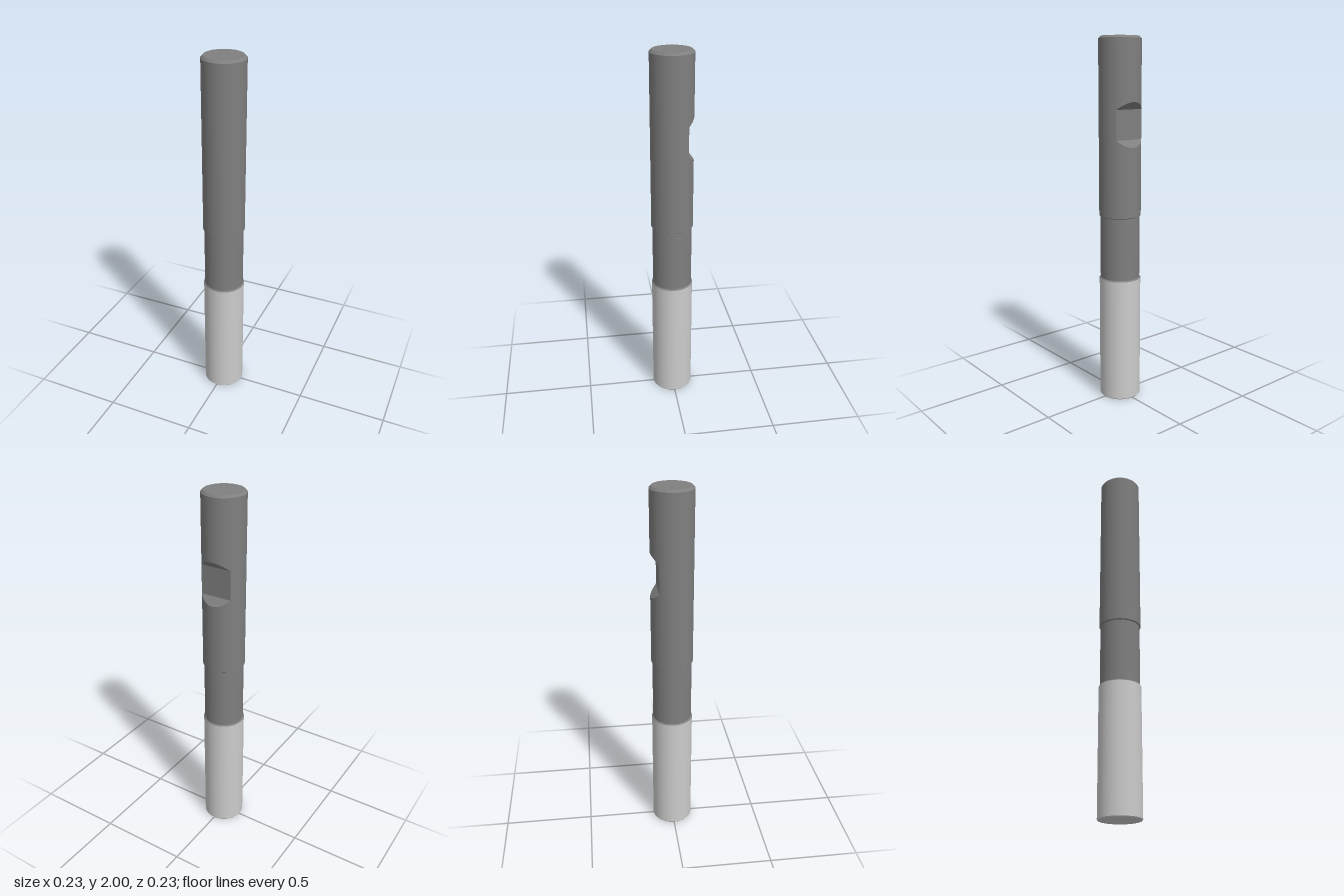
import * as THREE from 'three';
import { mergeGeometries } from 'three/addons/utils/BufferGeometryUtils.js';

const R = 0.114, NECK_R = 0.108, FLAT = 0.075, SEG = 96;
const SHANK_Y = 1.05, CUT_Y = 0.695;

// Turned body from [radius, y] points, bottom to top, with a sharp edge at every point
function turned(points) {
  return mergeGeometries(points.slice(1).map((p, i) =>
    new THREE.LatheGeometry([new THREE.Vector2(...points[i]), new THREE.Vector2(...p)], SEG)));
}

// Grid surface: fn(u, level) gives a point, u from 0 to 1
function sheet(levels, nu, fn) {
  const pos = [], index = [], w = nu + 1;
  levels.forEach((level, j) => {
    for (let i = 0; i <= nu; i++) {
      pos.push(...fn(i / nu, level));
      if (i < nu && j < levels.length - 1) {
        const a = j * w + i;
        index.push(a, a + 1, a + w + 1, a, a + w + 1, a + w);
      }
    }
  });
  const g = new THREE.BufferGeometry();
  g.setAttribute('position', new THREE.Float32BufferAttribute(pos, 3));
  g.setIndex(index);
  g.computeVertexNormals();
  return g;
}

export function createModel() {
  const model = new THREE.Group();
  const steel = new THREE.MeshStandardMaterial({ color: 0x7f7f7f });
  const bright = new THREE.MeshStandardMaterial({ color: 0xcccccc });
  const add = (name, geometry, material) => {
    const mesh = new THREE.Mesh(geometry, material);
    mesh.name = name;
    model.add(mesh);
  };

  // Cutting end with a small bevel at the tip
  add('cuttingEnd', turned([[0, 0], [0.11, 0], [R, 0.005], [R, CUT_Y]]), bright);

  // Slightly relieved neck with its shoulders
  add('neck', turned([[R, CUT_Y], [NECK_R, CUT_Y + 0.006], [NECK_R, SHANK_Y - 0.004], [R, SHANK_Y]]), steel);

  // Notch levels: a is the half angle removed from the back of the shank
  const a0 = Math.acos(FLAT / R), steps = 16;
  const lower = [], upper = [];
  for (let i = 0; i <= steps; i++) {
    const a = a0 * i / steps, rise = R * (1 - Math.cos(a));
    lower.push({ y: 1.427 + rise, a });
    upper.unshift({ y: 1.664 - rise, a });
  }
  const flat = [lower[steps], upper[0]];

  // Shank wall, opened where the notch cuts in
  const wall = sheet([{ y: SHANK_Y, a: 0 }, ...lower, ...upper, { y: 1.988, a: 0 }], SEG, (u, { y, a }) => {
    const t = a + u * 2 * (Math.PI - a);
    return [-R * Math.sin(t), y, -R * Math.cos(t)];
  });
  const p = wall.attributes.position, n = wall.attributes.normal;
  for (let i = 0; i < p.count; i++) n.setXYZ(i, p.getX(i) / R, 0, p.getZ(i) / R);
  add('shank', wall, steel);

  // Clamping notch: sloped ends and flat floor
  const across = (u, { y, a }) => [(1 - 2 * u) * R * Math.sin(a), y, -R * Math.cos(a)];
  add('notchLowerSlope', sheet(lower, 2, across), steel);
  add('notchFlat', sheet(flat, 2, across), steel);
  add('notchUpperSlope', sheet(upper, 2, across), steel);

  // Chamfered top
  add('shankTop', turned([[R, 1.988], [0.102, 2], [0, 2]]), steel);
  return model;
}
